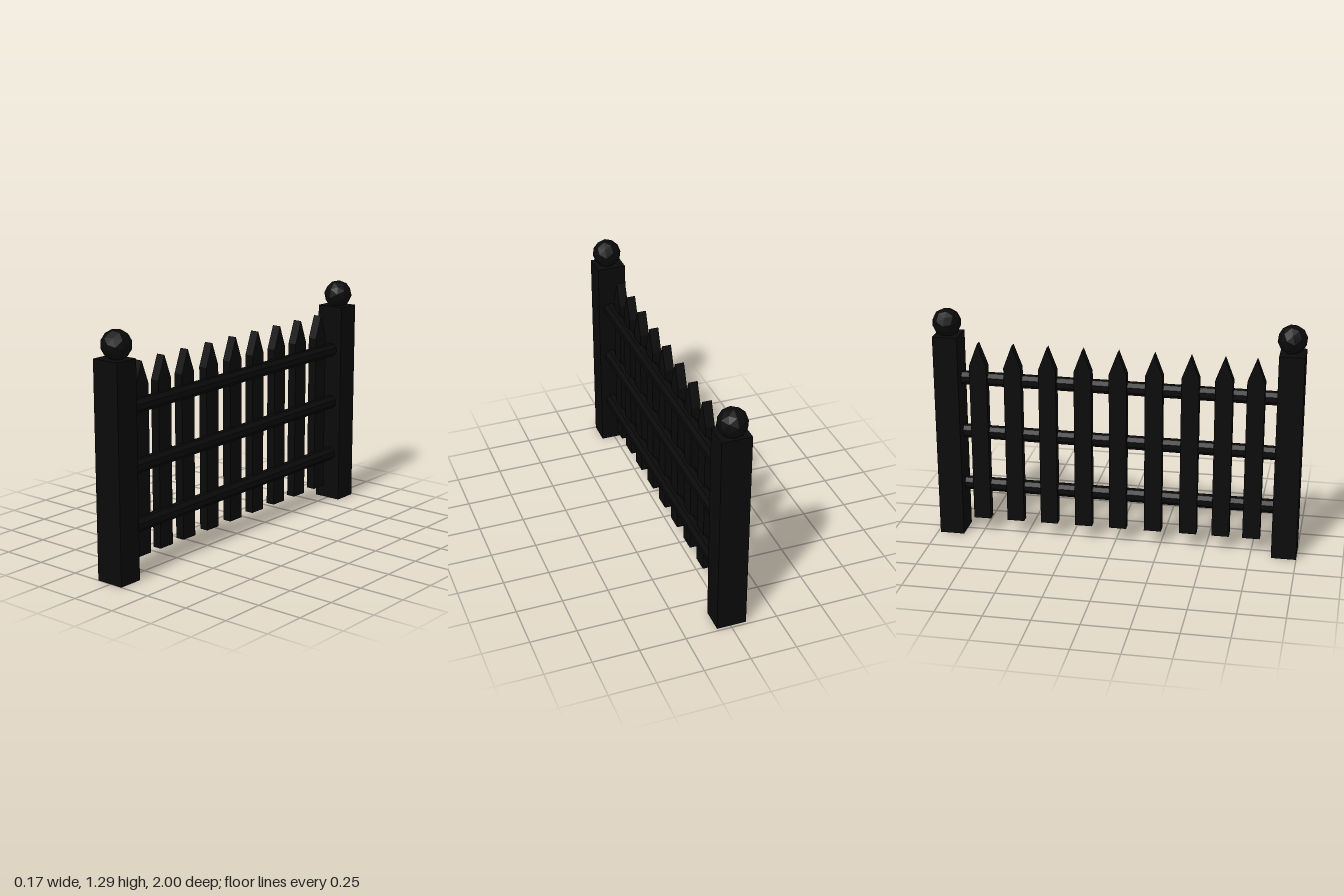
import * as THREE from 'three';

// Picket fence panel running along z between two ball-topped posts
export function createModel() {
  const group = new THREE.Group();
  const material = new THREE.MeshStandardMaterial({ color: 0x0a0a0a, flatShading: true });

  function add(name, geometry, x, y, z) {
    const mesh = new THREE.Mesh(geometry, material);
    mesh.name = name;
    mesh.position.set(x, y, z);
    group.add(mesh);
    return mesh;
  }

  // Square posts with faceted balls
  const postGeometry = new THREE.BoxGeometry(0.16, 1.145, 0.135);
  const ballGeometry = new THREE.IcosahedronGeometry(0.079, 1);
  const ends = [
    { name: 'front', z: 0.932, ballX: 0.003, ballY: 1.214, ballZ: 0.926, turn: 0.4 },
    { name: 'back', z: -0.917, ballX: -0.004, ballY: 1.207, ballZ: -0.923, turn: 1.1 },
  ];
  for (const e of ends) {
    add(e.name + 'Post', postGeometry, -0.005, 0.5725, e.z);
    add(e.name + 'PostBall', ballGeometry, e.ballX, e.ballY, e.ballZ).rotation.set(e.turn, e.turn / 2, 0);
  }

  // Pointed pickets, outline extruded through the thickness
  const half = 0.0475, thickness = 0.05;
  const outline = new THREE.Shape([
    new THREE.Vector2(-half, 0.087),
    new THREE.Vector2(half, 0.087),
    new THREE.Vector2(half, 0.98),
    new THREE.Vector2(0, 1.105),
    new THREE.Vector2(-half, 0.98),
  ]);
  const picketGeometry = new THREE.ExtrudeGeometry(outline, { depth: thickness, bevelEnabled: false });
  picketGeometry.translate(0, 0, -thickness / 2).rotateY(Math.PI / 2);
  const picketZ = [0.75, 0.582, 0.403, 0.209, 0.015, -0.176, -0.369, -0.56, -0.75];
  picketZ.forEach((z, i) => add('picket' + (i + 1), picketGeometry, -0.02, 0, z));

  // Round rails, slightly tilted, ending inside the posts
  const railGeometry = new THREE.CylinderGeometry(0.038, 0.038, 1.76, 8);
  railGeometry.rotateY(Math.PI / 8).rotateX(Math.PI / 2);
  [['lowerRail', 0.27], ['middleRail', 0.58], ['upperRail', 0.89]].forEach(([name, y]) => {
    add(name, railGeometry, 0.009, y, 0.007).rotation.x = 0.006;
  });

  return group;
}
